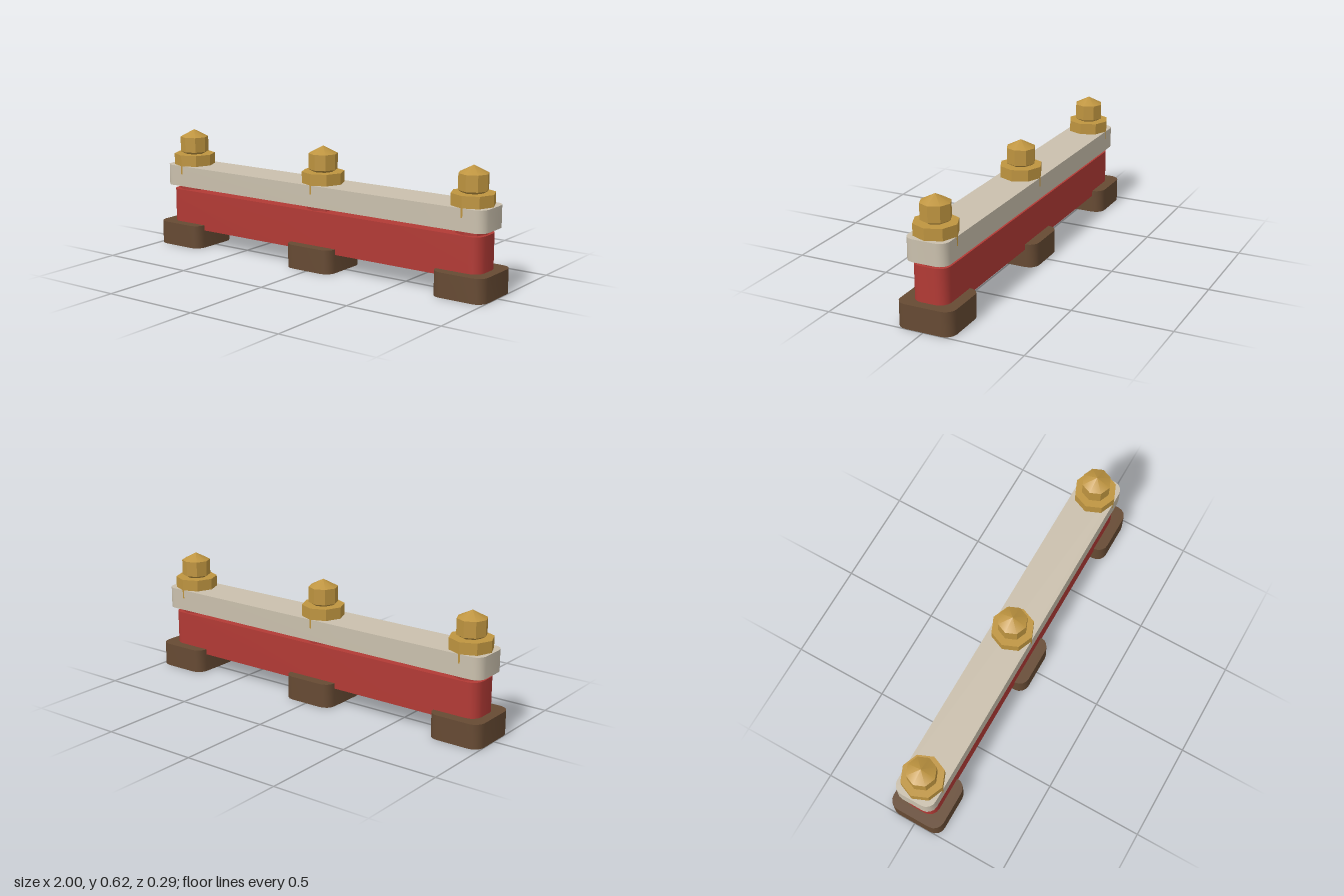
import * as THREE from 'three';
import { toCreasedNormals } from 'three/addons/utils/BufferGeometryUtils.js';

const material = (name, color) => {
  const m = new THREE.MeshStandardMaterial({ color });
  m.name = name;
  return m;
};

// Upright block with rounded vertical corners, standing on y = y0
function roundedBlock(width, depth, y0, y1, r) {
  const x = width / 2 - r, z = depth / 2 - r, q = Math.PI / 2;
  const shape = new THREE.Shape();
  shape.moveTo(x + r, -z);
  [[x, z], [-x, z], [-x, -z], [x, -z]].forEach(([cx, cy], i) =>
    shape.absarc(cx, cy, r, i * q, (i + 1) * q, false));
  const geo = new THREE.ExtrudeGeometry(shape, { depth: y1 - y0, bevelEnabled: false, curveSegments: 2 });
  geo.rotateX(-q).translate(0, y0, 0);
  return toCreasedNormals(geo, 0.55);
}

// Eight-sided drum between two heights
function octagon(rTop, rBottom, y0, y1, open = false) {
  const geo = new THREE.CylinderGeometry(rTop, rBottom, y1 - y0, 8, 1, open);
  geo.translate(0, (y0 + y1) / 2, 0);
  return toCreasedNormals(geo, 0.55);
}

export function createModel() {
  const brown = material('brown', 0x664a33);
  const red = material('red', 0xb23a35);
  const stone = material('pale stone', 0xcac0ad);
  const brass = material('brass', 0xbf9540);

  const model = new THREE.Group();
  model.name = 'busbar';
  const add = (parent, name, geo, mat) => {
    const mesh = new THREE.Mesh(geo, mat);
    mesh.name = name;
    parent.add(mesh);
  };

  add(model, 'insulatorBeam', roundedBlock(1.9, 0.18, 0.094, 0.298, 0.055), red);
  add(model, 'topBar', roundedBlock(1.95, 0.212, 0.321, 0.43, 0.05), stone);

  // Shared geometry for the three stations
  const foot = roundedBlock(0.28, 0.288, 0, 0.122, 0.053);
  const spacer = octagon(0.081, 0.081, 0.29, 0.325);
  const washer = octagon(0.108, 0.108, 0.386, 0.488);
  const nutNeck = octagon(0.074, 0.05, 0.486, 0.5, true);
  const nutBody = octagon(0.074, 0.074, 0.5, 0.579, true);
  const nutTip = new THREE.ConeGeometry(0.074, 0.038, 8, 1, true).translate(0, 0.598, 0);

  for (const [name, x] of [['right', -0.86], ['middle', 0], ['left', 0.86]]) {
    const station = new THREE.Group();
    station.name = name + 'Terminal';
    station.position.x = x;
    add(station, 'foot', foot, brown);
    add(station, 'spacer', spacer, red);
    add(station, 'washer', washer, brass);
    add(station, 'nutNeck', nutNeck, brass);
    add(station, 'nutBody', nutBody, brass);
    add(station, 'nutTip', nutTip, brass);
    model.add(station);
  }
  return model;
}
